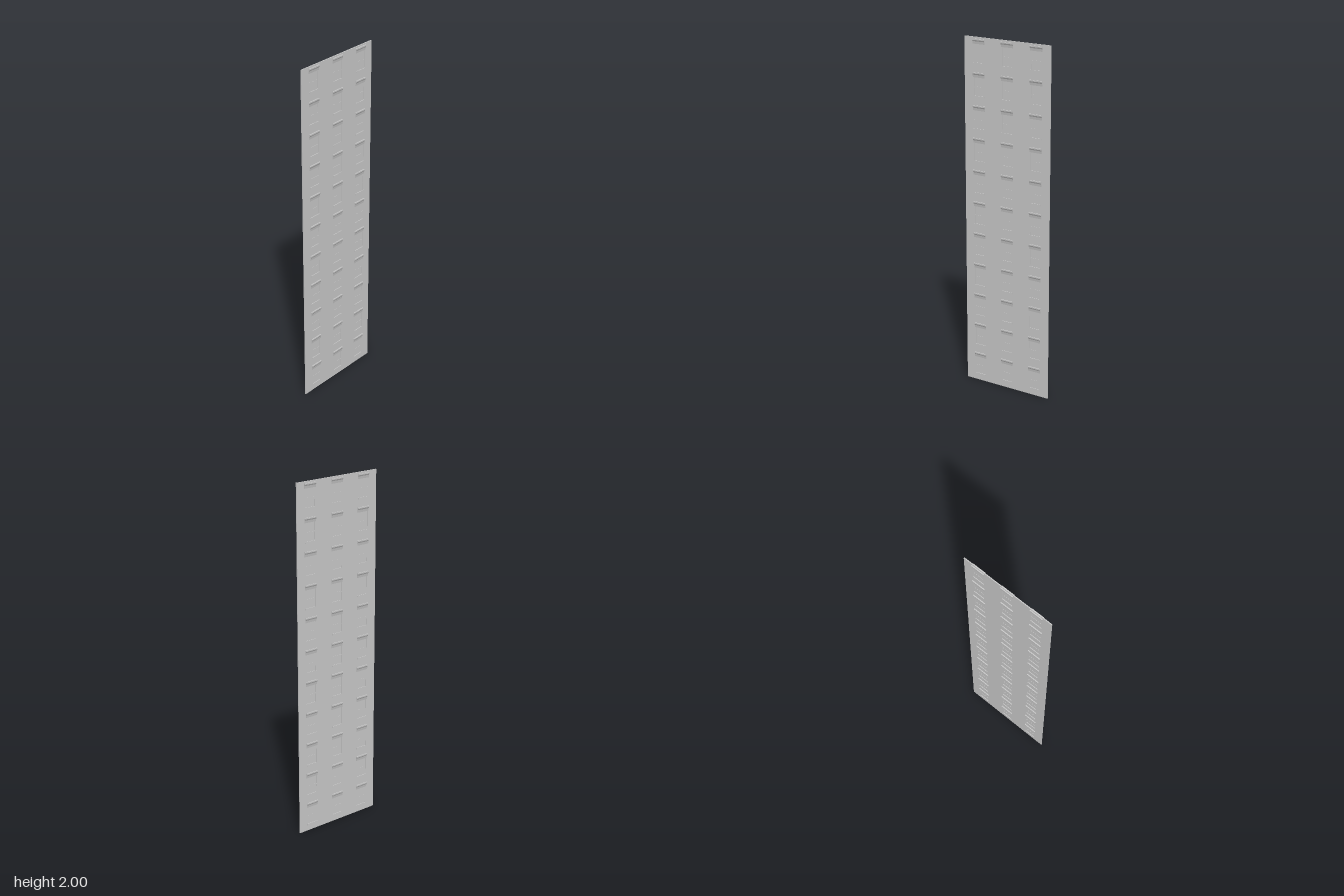
import * as THREE from 'three';

const ROWS = 11, PITCH = 0.182;
const COLUMNS = [-0.183, -0.0015, 0.18];
const HALF_WIDTH = 0.272, HALF_THICK = 0.0025;
const OPEN_W = 0.062, OPEN_LOW = 0.041, OPEN_HIGH = 0.145;

export function createModel() {
  const model = new THREE.Group();
  const material = new THREE.MeshStandardMaterial({ color: 0xcccccc, flatShading: true });

  function add(parent, geometry, name, x, y, z) {
    const mesh = new THREE.Mesh(geometry, material);
    mesh.name = name;
    mesh.position.set(x, y, z);
    parent.add(mesh);
  }

  // Extrudes an x-y outline along z, centred
  function extrudeProfile(points, length) {
    const shape = new THREE.Shape(points.map(([x, y]) => new THREE.Vector2(x, y)));
    return new THREE.ExtrudeGeometry(shape, { depth: length, bevelEnabled: false })
      .translate(0, 0, -length / 2);
  }

  // Thin wall slab pierced by a grid of window openings
  const outline = new THREE.Shape();
  outline.moveTo(-HALF_WIDTH, 0).lineTo(HALF_WIDTH, 0)
    .lineTo(HALF_WIDTH, 2).lineTo(-HALF_WIDTH, 2).closePath();
  for (let row = 0; row < ROWS; row++) {
    for (const z of COLUMNS) {
      const low = row * PITCH + OPEN_LOW, high = row * PITCH + OPEN_HIGH;
      const hole = new THREE.Path();
      hole.moveTo(-z - OPEN_W / 2, low).lineTo(-z - OPEN_W / 2, high)
        .lineTo(-z + OPEN_W / 2, high).lineTo(-z + OPEN_W / 2, low).closePath();
      outline.holes.push(hole);
    }
  }
  const wall = new THREE.ExtrudeGeometry(outline, { depth: 2 * HALF_THICK, bevelEnabled: false })
    .translate(0, 0, -HALF_THICK).rotateY(Math.PI / 2);
  add(model, wall, 'wall', 0, 0, 0);

  // Shared window pieces, all symmetric about the wall plane
  const pane = new THREE.BoxGeometry(0.001, OPEN_HIGH - OPEN_LOW, OPEN_W);
  const rail = new THREE.BoxGeometry(0.003, 0.005, OPEN_W);
  const sill = new THREE.BoxGeometry(0.008, 0.008, 0.07);
  const lintel = extrudeProfile([
    [-0.003, -0.016], [0.003, -0.016], [0.005, -0.002], [0.008, 0.005],
    [0.008, 0.012], [-0.008, 0.012], [-0.008, 0.005], [-0.005, -0.002],
  ], 0.077);

  for (let row = 0; row < ROWS; row++) {
    for (const z of COLUMNS) {
      const win = new THREE.Group();
      win.name = 'window';
      win.position.set(0, row * PITCH, z);
      add(win, pane, 'pane', 0, (OPEN_LOW + OPEN_HIGH) / 2, 0);
      add(win, rail, 'middleRail', 0, (OPEN_LOW + OPEN_HIGH) / 2 - 0.004, 0);
      add(win, sill, 'sill', 0, 0.037, 0);
      add(win, lintel, 'lintel', 0, 0.158, 0);
      model.add(win);
    }
  }
  return model;
}
